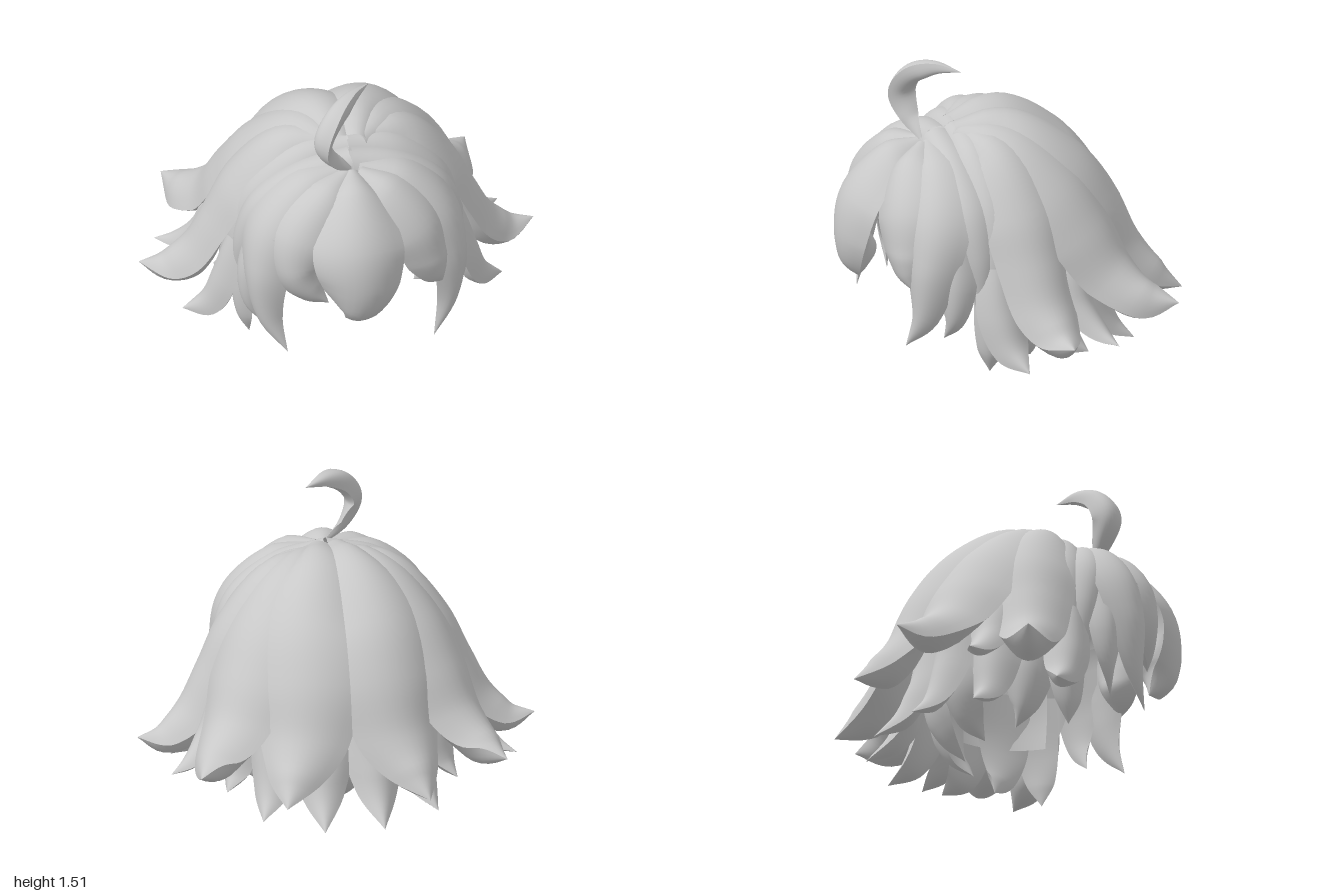
import * as THREE from 'three';

const hair = new THREE.MeshStandardMaterial({ color: 0xc8c8c8, side: THREE.DoubleSide });
hair.name = 'hair grey';

// One lock: a lens-shaped section swept along points [x, y, z, halfWidth].
// The inner side swells to "belly" times the outer thickness toward the tip.
function lock(name, pts, { face, fat = 0.45, curl = 0.2, belly = 1 } = {}) {
  const path = new THREE.CatmullRomCurve3(pts.map(p => new THREE.Vector3(p[0], p[1], p[2])));
  const size = new THREE.CatmullRomCurve3(pts.map((p, i) => new THREE.Vector3(p[3], i * 0.1, 0)));
  const mid = pts[Math.floor(pts.length / 2)];
  const out = face ? new THREE.Vector3(...face) : new THREE.Vector3(mid[0], 0, mid[2] - 0.1).normalize().setY(0.5);
  const rows = (pts.length - 1) * 6, cols = 10, pos = [], index = [];
  for (const outer of [true, false]) {
    const base = pos.length / 3;
    for (let i = 0; i <= rows; i++) {
      const s = i / rows, p = path.getPoint(s), tan = path.getTangent(s);
      const w = Math.max(0.0005, size.getPoint(s).x);
      const swell = THREE.MathUtils.lerp(0.35, belly, Math.min(1, s * 1.4) ** 2);
      const thick = Math.min(0.062, w * fat) * (outer ? 1 : -swell);
      const n = out.clone().addScaledVector(tan, -out.dot(tan)).normalize();
      const side = tan.clone().cross(n);
      for (let j = 0; j <= cols; j++) {
        const u = (j / cols) * 2 - 1;
        const v = p.clone().addScaledVector(side, u * w)
          .addScaledVector(n, thick * (1 - u * u) - curl * w * u * u);
        pos.push(v.x, v.y, v.z);
        if (i === rows || j === cols) continue;
        const a = base + i * (cols + 1) + j, b = a + 1, c = a + cols + 1, d = c + 1;
        if (outer) index.push(a, b, c, b, d, c);
        else index.push(a, c, b, b, c, d);
      }
    }
  }
  const g = new THREE.BufferGeometry();
  g.setAttribute('position', new THREE.Float32BufferAttribute(pos, 3));
  g.setIndex(index);
  g.computeVertexNormals();
  const m = new THREE.Mesh(g, hair);
  m.name = name;
  return m;
}

export function createModel() {
  const root = new THREE.Group();
  root.name = 'hair';
  const one = (name, pts, opt) => root.add(lock(name, pts, opt));
  const pair = (name, pts, opt) => {
    one(name + 'Left', pts, opt);
    one(name + 'Right', pts.map(([x, ...r]) => [-x, ...r]), opt);
  };

  // Under-layers that close the scalp
  const profile = [[0.001, 1.14], [0.15, 1.12], [0.28, 1.06], [0.4, 0.94], [0.49, 0.75], [0.51, 0.5], [0.48, 0.3]];
  const curve = new THREE.SplineCurve(profile.map(p => new THREE.Vector2(...p)));
  const deg = Math.PI / 180;
  const scalp = new THREE.Mesh(new THREE.LatheGeometry(curve.getPoints(24), 40, 65 * deg, 230 * deg), hair);
  scalp.name = 'backScalp';
  scalp.scale.z = 0.94;
  scalp.position.z = 0.04;
  const brow = new THREE.Mesh(new THREE.SphereGeometry(1, 32, 16, 0, Math.PI, 0, 1.25), hair);
  brow.name = 'frontScalp';
  brow.scale.set(0.49, 0.38, 0.46);
  brow.position.set(0, 0.71, 0.19);
  root.add(scalp, brow);

  // Large outer locks fanning from the crown
  pair('backLock', [[0.05, 1.15, 0.25, 0.08], [0.12, 1.16, -0.04, 0.19], [0.2, 0.98, -0.31, 0.26],
    [0.22, 0.75, -0.48, 0.28], [0.25, 0.5, -0.59, 0.23], [0.31, 0.34, -0.71, 0.13], [0.36, 0.25, -0.84, 0]],
  { belly: 2 });
  pair('backCornerLock', [[0.06, 1.15, 0.25, 0.06], [0.25, 1.11, 0.02, 0.2], [0.4, 0.93, -0.17, 0.26],
    [0.5, 0.71, -0.3, 0.26], [0.58, 0.51, -0.4, 0.21], [0.69, 0.39, -0.53, 0.13], [0.77, 0.37, -0.68, 0]],
  { belly: 2 });
  pair('sideLock', [[0.06, 1.15, 0.23, 0.05], [0.32, 1.08, 0.11, 0.17], [0.52, 0.85, 0.04, 0.22],
    [0.63, 0.62, 0.02, 0.2], [0.74, 0.41, 0, 0.17], [0.86, 0.31, -0.03, 0.11], [1, 0.31, -0.05, 0]],
  { belly: 2.2 });

  // Smaller locks between and below them
  pair('sideSmallLock', [[0.45, 0.8, -0.1, 0.08], [0.59, 0.55, -0.17, 0.12], [0.67, 0.38, -0.2, 0.1],
    [0.77, 0.27, -0.27, 0.06], [0.87, 0.23, -0.33, 0]], { belly: 1.5 });
  pair('earLock', [[0.49, 0.8, 0.2, 0.06], [0.57, 0.55, 0.21, 0.1], [0.62, 0.36, 0.2, 0.12],
    [0.69, 0.2, 0.17, 0.09], [0.81, 0.12, 0.12, 0]], { belly: 2 });
  pair('lowerBackLock', [[0.15, 0.6, -0.4, 0.15], [0.14, 0.35, -0.46, 0.16], [0.14, 0.16, -0.56, 0.1],
    [0.15, 0.04, -0.71, 0]], { belly: 1.4 });
  pair('lowerCornerLock', [[0.35, 0.6, -0.33, 0.15], [0.36, 0.33, -0.37, 0.14], [0.39, 0.14, -0.45, 0.09],
    [0.44, 0.05, -0.56, 0]], { belly: 1.4 });
  pair('lowerSideLock', [[0.49, 0.55, -0.13, 0.14], [0.51, 0.32, -0.15, 0.13], [0.53, 0.15, -0.19, 0.09],
    [0.58, 0.08, -0.27, 0]], { belly: 1.4 });

  // Inner locks curling toward the neck
  one('innerBackLock', [[0, 0.6, -0.38, 0.16], [0, 0.3, -0.38, 0.16], [0, 0.12, -0.32, 0.1], [0, 0, -0.23, 0]]);
  pair('innerCornerLock', [[0.27, 0.6, -0.3, 0.16], [0.28, 0.3, -0.3, 0.15], [0.25, 0.13, -0.25, 0.09],
    [0.21, 0.02, -0.16, 0]]);
  pair('innerSideLock', [[0.48, 0.6, 0.02, 0.14], [0.5, 0.3, 0.02, 0.13], [0.46, 0.12, 0, 0.08],
    [0.39, 0.02, -0.03, 0]]);
  pair('innerEarLock', [[0.5, 0.6, 0.21, 0.09], [0.53, 0.3, 0.21, 0.1], [0.52, 0.13, 0.22, 0.07],
    [0.49, 0.01, 0.22, 0]]);

  // Bands framing the fringe
  pair('rearBand', [[0, 1.15, 0.25, 0.07], [0.25, 1.1, 0.23, 0.1], [0.46, 0.91, 0.21, 0.12],
    [0.55, 0.7, 0.2, 0.11], [0.57, 0.48, 0.22, 0.08], [0.55, 0.25, 0.23, 0]], { fat: 0.3 });
  pair('frontBand', [[0, 1.12, 0.35, 0.08], [0.26, 1.05, 0.35, 0.1], [0.46, 0.88, 0.33, 0.12],
    [0.54, 0.67, 0.3, 0.1], [0.55, 0.47, 0.28, 0.06], [0.53, 0.33, 0.29, 0]], { fat: 0.35 });

  // Fringe
  pair('outerFringe', [[0.03, 1.09, 0.39, 0.05], [0.26, 1.01, 0.44, 0.15], [0.43, 0.83, 0.49, 0.18],
    [0.48, 0.6, 0.53, 0.14], [0.46, 0.35, 0.56, 0.08], [0.37, 0.16, 0.62, 0]], { belly: 1.2 });
  pair('templeLock', [[0.48, 0.75, 0.41, 0.1], [0.53, 0.52, 0.41, 0.1], [0.52, 0.34, 0.42, 0.06],
    [0.43, 0.2, 0.44, 0]]);
  one('fringeLeft', [[0.03, 1.09, 0.42, 0.04], [0.17, 1.01, 0.53, 0.15], [0.31, 0.84, 0.6, 0.18],
    [0.36, 0.67, 0.61, 0.15], [0.39, 0.56, 0.61, 0.09], [0.42, 0.48, 0.6, 0]], { belly: 2 });
  one('fringeRight', [[-0.03, 1.09, 0.42, 0.04], [-0.17, 1.01, 0.53, 0.15], [-0.32, 0.84, 0.6, 0.18],
    [-0.33, 0.67, 0.63, 0.14], [-0.26, 0.55, 0.65, 0.08], [-0.17, 0.47, 0.66, 0]], { belly: 1.8 });
  one('fringeRightTip', [[-0.4, 0.82, 0.53, 0.12], [-0.43, 0.64, 0.56, 0.09], [-0.44, 0.48, 0.57, 0]]);
  one('fringeCentre', [[-0.01, 1.09, 0.42, 0.04], [-0.02, 1.02, 0.58, 0.16], [-0.03, 0.83, 0.75, 0.23],
    [-0.03, 0.64, 0.79, 0.2], [-0.05, 0.49, 0.76, 0.13], [-0.09, 0.38, 0.68, 0]], { belly: 2.2 });

  // Curled strand standing on the crown
  one('topStrand', [[-0.01, 1.1, 0.41, 0.01], [-0.1, 1.19, 0.44, 0.05], [-0.15, 1.31, 0.46, 0.075],
    [-0.1, 1.42, 0.42, 0.07], [-0.01, 1.48, 0.34, 0.045], [0.11, 1.49, 0.24, 0]],
  { face: [-1, 0.5, 0], fat: 0.75, curl: 0, belly: 1.2 });

  return root;
}
